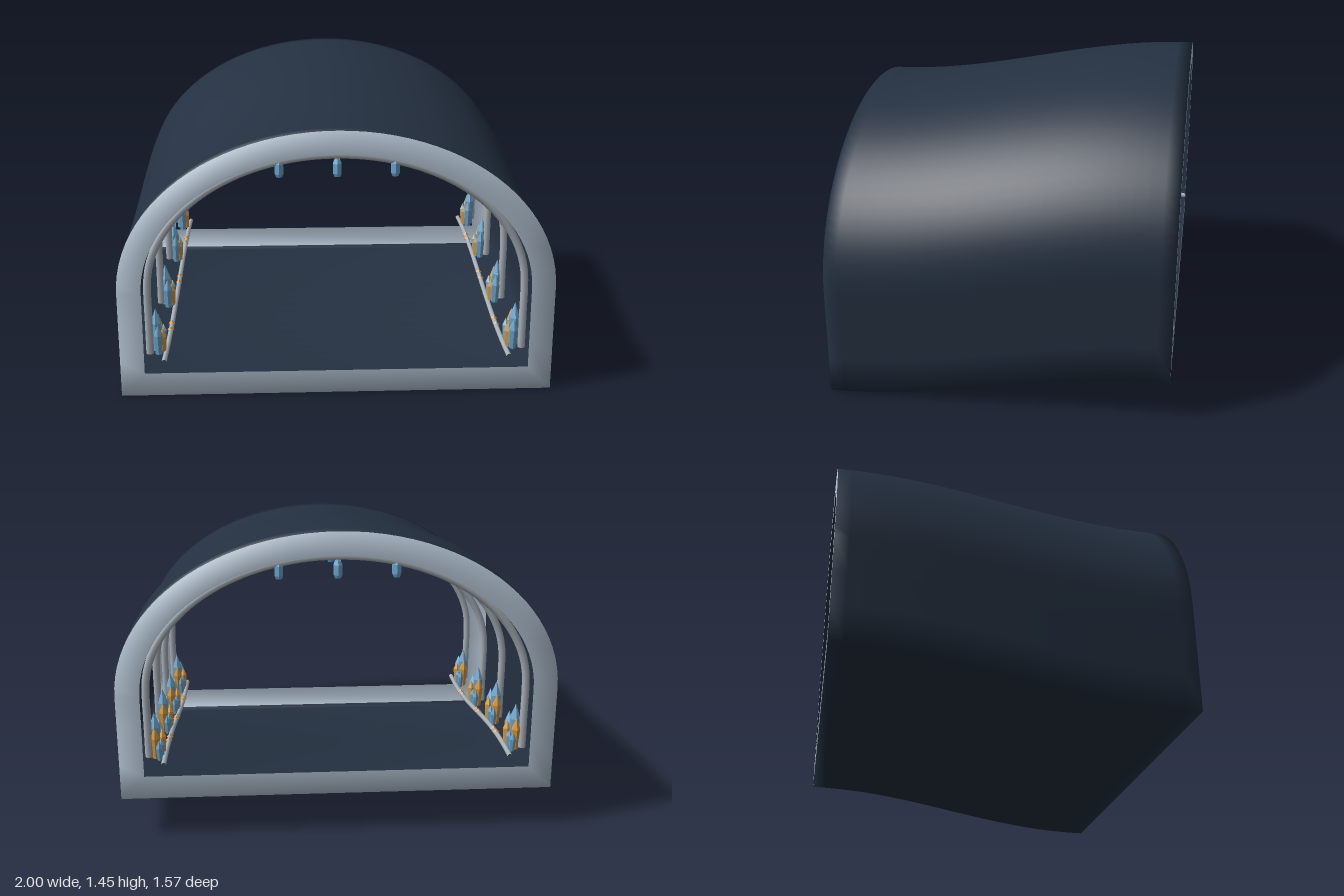
import * as THREE from 'three';

const HALF_Z = 0.785;
const mat = (name, color, side = THREE.FrontSide) => {
  const m = new THREE.MeshStandardMaterial({ color, side });
  m.name = name;
  return m;
};

// The tunnel climbs gently from front to back
const rise = (z) => 0.1 * (1 - Math.cos(Math.PI * (HALF_Z - z) / (2 * HALF_Z)));

// Closed D-shaped outline: floor, walls and elliptical arch
function outline(half, bottom, top) {
  const spring = 0.5, pts = [[-half, bottom]];
  const walls = 3, arch = 48;
  for (let i = 0; i < walls; i++) pts.push([half, bottom + (spring - bottom) * i / walls]);
  for (let i = 0; i <= arch; i++) {
    const a = Math.PI * i / arch;
    pts.push([half * Math.cos(a), spring + (top - spring) * Math.sin(a)]);
  }
  for (let i = walls - 1; i > 0; i--) pts.push([-half, bottom + (spring - bottom) * i / walls]);
  return pts;
}

// Thin skin with a flat frame on each end, sharing smooth normals
function shellGeometry() {
  const outer = outline(1, 0, 1.245), inner = outline(0.89, 0.11, 1.137);
  const n = outer.length, rows = 24, pos = [], index = [];
  const addRow = (pts, z) => pts.forEach(([x, y]) => pos.push(x, y + rise(z), z));
  for (let j = 0; j <= rows; j++) addRow(outer, HALF_Z - 2 * HALF_Z * j / rows);
  addRow(inner, HALF_Z);
  addRow(inner, -HALF_Z);
  const band = (r0, r1, flip) => {
    for (let i = 0; i < n; i++) {
      const k = (i + 1) % n;
      const a = r0 * n + i, b = r0 * n + k, c = r1 * n + i, d = r1 * n + k;
      if (flip) index.push(a, c, b, b, c, d);
      else index.push(a, b, d, a, d, c);
    }
  };
  for (let j = 0; j < rows; j++) band(j, j + 1, true);
  const skinCount = index.length;
  band(0, rows + 1, false);
  band(rows, rows + 2, true);
  const g = new THREE.BufferGeometry();
  g.setAttribute('position', new THREE.Float32BufferAttribute(pos, 3));
  g.setIndex(index);
  g.computeVertexNormals();
  g.addGroup(0, skinCount, 0);
  g.addGroup(skinCount, index.length - skinCount, 1);
  return g;
}

export function createModel() {
  const model = new THREE.Group();
  model.name = 'tunnel';
  const skin = mat('dark slate', 0x243041, THREE.DoubleSide);
  const frame = mat('pale steel', 0xb6c6d6, THREE.DoubleSide);
  const metal = mat('grey metal', 0xa9b1b9);
  const blue = mat('blue crystal', 0x6fa9d2);
  const amber = mat('amber crystal', 0xdb9a3a);
  blue.flatShading = amber.flatShading = true;

  const add = (parent, name, geo, material, x = 0, y = 0, z = 0) => {
    const m = new THREE.Mesh(geo, material);
    m.name = name;
    m.position.set(x, y, z);
    parent.add(m);
    return m;
  };

  add(model, 'shellAndEndFrames', shellGeometry(), [skin, frame]);

  // Arched ribs with three hanging lamps each
  const ribPoints = [new THREE.Vector3(0.87, 0.18, 0), new THREE.Vector3(0.87, 0.34, 0)];
  for (let i = 0; i <= 24; i++) {
    const a = Math.PI * i / 24;
    ribPoints.push(new THREE.Vector3(0.87 * Math.cos(a), 0.5 + 0.62 * Math.sin(a), 0));
  }
  ribPoints.push(new THREE.Vector3(-0.87, 0.34, 0), new THREE.Vector3(-0.87, 0.18, 0));
  const ribGeo = new THREE.TubeGeometry(new THREE.CatmullRomCurve3(ribPoints), 72, 0.018, 8);
  const lampGeo = new THREE.LatheGeometry(
    [[0, -0.04], [0.015, -0.04], [0.022, -0.025], [0.022, 0.02], [0.014, 0.04], [0, 0.04]]
      .map(([x, y]) => new THREE.Vector2(x, y)), 6);
  for (const z of [0.715, 0.22, -0.22, -0.715]) {
    const rib = new THREE.Group();
    rib.name = 'rib';
    rib.position.set(0, rise(z), z);
    model.add(rib);
    add(rib, 'ribArch', ribGeo, metal);
    for (const x of [-0.26, 0, 0.26]) {
      const ceiling = 0.5 + 0.62 * Math.sqrt(1 - (x / 0.87) ** 2);
      add(rib, 'lamp', lampGeo, blue, x, 1.06, 0);
      add(rib, 'lampStem', new THREE.CylinderGeometry(0.01, 0.01, 0.04, 6), metal, x, ceiling - 0.015, 0);
    }
  }

  // Pointed six-sided crystal, standing on its base
  const crystalGeo = (r, h) => new THREE.LatheGeometry(
    [[0, 0], [r * 0.8, 0], [r, h * 0.65], [0, h]].map(([x, y]) => new THREE.Vector2(x, y)), 6);
  // Each entry: z offset, offset towards the wall, radius, height, lean, material
  const cluster = [
    [0, 0.01, 0.027, 0.21, 0, blue],
    [0.042, -0.005, 0.022, 0.15, 0.12, blue],
    [-0.04, 0.005, 0.022, 0.16, -0.1, amber],
    [0.018, -0.022, 0.018, 0.12, 0.05, amber],
    [-0.065, -0.015, 0.016, 0.1, -0.18, blue],
    [-0.02, -0.02, 0.016, 0.09, -0.08, blue],
  ];

  for (const side of [-1, 1]) {
    // Rail following the slope along the wall foot
    const path = [];
    for (let i = 0; i <= 16; i++) {
      const z = HALF_Z - 2 * HALF_Z * i / 16;
      path.push(new THREE.Vector3(side * 0.8, 0.165 + rise(z), z));
    }
    add(model, 'rail', new THREE.TubeGeometry(new THREE.CatmullRomCurve3(path), 48, 0.012, 8), metal);

    for (const z of [0.66, 0.21, -0.24, -0.66]) {
      const group = new THREE.Group();
      group.name = 'crystalCluster';
      group.position.set(side * 0.835, 0.17 + rise(z), z);
      model.add(group);
      for (const [dz, dx, r, h, lean, material] of cluster) {
        add(group, 'crystal', crystalGeo(r, h), material, side * dx, 0, dz).rotation.x = lean;
      }
    }
    // Small amber studs on the rail between clusters
    for (const z of [0.43, -0.02, -0.45]) {
      for (const dz of [-0.03, 0.03]) {
        add(model, 'railStud', new THREE.OctahedronGeometry(0.017), amber,
          side * 0.8, 0.17 + rise(z + dz), z + dz);
      }
    }
  }
  return model;
}
